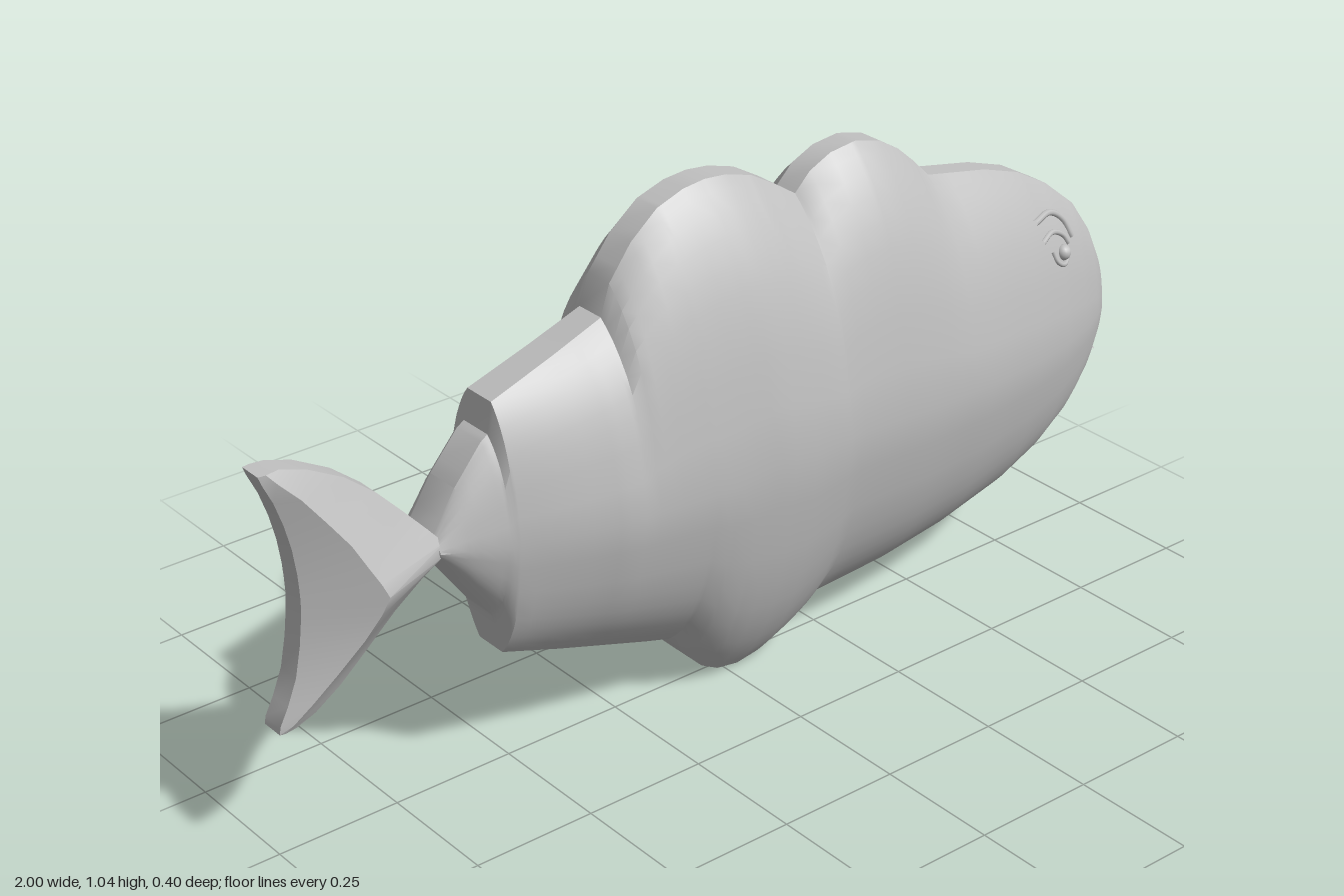
import * as THREE from 'three';
import { toCreasedNormals } from 'three/addons/utils/BufferGeometryUtils.js';

// Piecewise linear lookup in a list of [position, value] pairs
function lookup(table, x) {
  if (x <= table[0][0]) return table[0][1];
  for (let i = 1; i < table.length; i++) {
    const [x0, v0] = table[i - 1], [x1, v1] = table[i];
    if (x <= x1) return v0 + (v1 - v0) * (x - x0) / (x1 - x0);
  }
  return table[table.length - 1][1];
}

// Skin closed rings of equal length and cap both ends
function loft(rings, crease) {
  const n = rings[0].length, index = [];
  for (let i = 0; i < rings.length - 1; i++) {
    for (let j = 0; j < n; j++) {
      const k = (j + 1) % n;
      const a = i * n + j, b = i * n + k, c = b + n, d = a + n;
      index.push(a, b, c, a, c, d);
    }
  }
  const last = (rings.length - 1) * n;
  for (let j = 1; j < n - 1; j++) {
    index.push(0, j + 1, j, last, last + j, last + j + 1);
  }
  const geo = new THREE.BufferGeometry();
  geo.setAttribute('position', new THREE.Float32BufferAttribute(rings.flat(2), 3));
  geo.setIndex(index);
  return toCreasedNormals(geo, crease);
}

// Body outline along x: back with two humps, belly with one fin
const back = [[-0.67, 0.54], [-0.62, 0.62], [-0.56, 0.69], [-0.545, 0.7], [-0.535, 0.76], [-0.4, 0.805],
  [-0.29, 0.845], [-0.27, 0.905], [-0.22, 0.97], [-0.16, 1.018], [-0.1, 1.038], [-0.05, 1.043],
  [0, 1.038], [0.06, 1.02], [0.12, 0.985], [0.165, 0.955], [0.2, 0.99], [0.25, 1.013], [0.31, 1.02],
  [0.37, 1.005], [0.42, 0.975], [0.46, 0.94], [0.5, 0.9], [0.65, 0.87], [0.74, 0.84], [0.82, 0.795],
  [0.9, 0.73], [0.95, 0.66], [0.98, 0.595], [0.995, 0.54], [1, 0.5]];
const belly = [[-0.67, 0.5], [-0.6, 0.405], [-0.55, 0.335], [-0.53, 0.25], [-0.4, 0.205], [-0.2, 0.14],
  [-0.14, 0.122], [-0.11, 0.08], [-0.06, 0.03], [-0.02, 0.008], [0.03, 0], [0.08, 0.008], [0.13, 0.03],
  [0.17, 0.055], [0.2, 0.085], [0.4, 0.097], [0.55, 0.12], [0.7, 0.158], [0.8, 0.2], [0.88, 0.252],
  [0.94, 0.32], [0.98, 0.395], [0.995, 0.44], [1, 0.47]];
const ridge = [[-0.67, 0.515], [-0.55, 0.502], [-0.1, 0.505], [0, 0.528], [0.08, 0.515], [0.2, 0.52],
  [0.4, 0.505], [0.9, 0.487], [1, 0.485]];
const halfWidth = [[-0.67, 0.06], [-0.55, 0.1], [-0.45, 0.135], [-0.33, 0.168], [-0.15, 0.186], [0, 0.198],
  [0.15, 0.198], [0.35, 0.192], [0.55, 0.18], [0.7, 0.157], [0.8, 0.132], [0.9, 0.093], [0.95, 0.067],
  [0.98, 0.047], [1, 0.024]];
// Fall of the flank from the ridge (0) to the rim (1)
const flank = [[0, 1], [0.2, 0.92], [0.4, 0.83], [0.55, 0.72], [0.65, 0.625], [0.74, 0.52], [0.83, 0.38],
  [0.9, 0.25], [0.96, 0.11], [1, 0]];

function rimWidth(x) {
  return Math.min(lookup([[-0.6, 0.036], [0, 0.026], [1, 0.022]], x), lookup(halfWidth, x));
}

function flankZ(x, y) {
  const mid = lookup(ridge, x), edge = lookup(y > mid ? back : belly, x);
  const t = Math.min(1, Math.abs((y - mid) / (edge - mid)));
  const rim = rimWidth(x);
  return rim + (lookup(halfWidth, x) - rim) * lookup(flank, t);
}

function bodyRing(x) {
  const mid = lookup(ridge, x), top = lookup(back, x), low = lookup(belly, x);
  const ts = flank.map(p => p[0]);
  const ys = [...ts.slice(1).reverse().map(t => mid + (top - mid) * t), ...ts.map(t => mid + (low - mid) * t)];
  const front = ys.map(y => [x, y, flankZ(x, y)]);
  return [...front, ...front.map(([px, py, pz]) => [px, py, -pz]).reverse()];
}

function bodyGeometry() {
  const xs = [...back, ...belly, ...halfWidth].map(p => p[0]);
  for (let x = -0.65; x < 1; x += 0.05) xs.push(x);
  xs.sort((a, b) => a - b);
  const stations = xs.filter((x, i) => i === 0 || x - xs[i - 1] > 0.003);
  return loft(stations.map(bodyRing), 0.5);
}

// Tail fin: [y, rear edge x, crest x, front edge x, crest half width, front half width]
function tailGeometry() {
  const rows = [
    [0.26, -0.995, -0.985, -0.96, 0.026, 0.022], [0.275, -0.993, -0.972, -0.92, 0.034, 0.022],
    [0.31, -0.975, -0.937, -0.866, 0.045, 0.022], [0.36, -0.955, -0.895, -0.81, 0.062, 0.024],
    [0.42, -0.943, -0.85, -0.75, 0.083, 0.03], [0.47, -0.937, -0.822, -0.7, 0.1, 0.042],
    [0.505, -0.935, -0.81, -0.665, 0.11, 0.055], [0.53, -0.936, -0.82, -0.655, 0.103, 0.05],
    [0.56, -0.938, -0.835, -0.68, 0.092, 0.04], [0.61, -0.945, -0.86, -0.725, 0.077, 0.03],
    [0.66, -0.957, -0.895, -0.772, 0.06, 0.024], [0.71, -0.974, -0.932, -0.833, 0.046, 0.022],
    [0.75, -0.993, -0.97, -0.905, 0.034, 0.022], [0.768, -1, -0.985, -0.958, 0.026, 0.022],
  ];
  return loft(rows.map(([y, rear, crest, front, wide, nose]) => [
    [rear, y, 0.024], [crest, y, wide], [front, y, nose],
    [front, y, -nose], [crest, y, -wide], [rear, y, -0.024],
  ]), 0.45);
}

// Thin raised line that follows the flank
function flankLine(points, radius, side) {
  const curve = new THREE.CatmullRomCurve3(
    points.map(([x, y]) => new THREE.Vector3(x, y, side * flankZ(x, y))));
  return new THREE.TubeGeometry(curve, 16, radius, 8);
}

export function createModel() {
  const grey = new THREE.MeshStandardMaterial({ color: 0xc0c0c0 });
  grey.name = 'grey';
  const model = new THREE.Group();
  model.name = 'fish';
  const add = (name, geometry, parent = model) => {
    const mesh = new THREE.Mesh(geometry, grey);
    mesh.name = name;
    parent.add(mesh);
    return mesh;
  };

  add('body', bodyGeometry());
  add('tailFin', tailGeometry());

  // Eyes with brow and lids on both flanks
  for (const side of [1, -1]) {
    const eye = new THREE.Group();
    eye.name = side > 0 ? 'frontEye' : 'backEye';
    model.add(eye);
    add('brow', flankLine([[0.73, 0.755], [0.79, 0.755], [0.83, 0.728], [0.85, 0.69]], 0.007, side), eye);
    add('upperLid', flankLine([[0.74, 0.715], [0.78, 0.722], [0.815, 0.705], [0.83, 0.685]], 0.006, side), eye);
    add('lowerLid', flankLine([[0.768, 0.69], [0.78, 0.665], [0.805, 0.652], [0.828, 0.668]], 0.005, side), eye);
    const pupil = add('pupil', new THREE.SphereGeometry(0.016, 16, 12), eye);
    pupil.position.set(0.805, 0.675, side * flankZ(0.805, 0.675));
  }

  // Small curved lip at the nose
  const lip = new THREE.CatmullRomCurve3([
    new THREE.Vector3(0.968, 0.385, -0.036), new THREE.Vector3(0.98, 0.4, 0), new THREE.Vector3(0.968, 0.385, 0.036)]);
  add('lip', new THREE.TubeGeometry(lip, 12, 0.007, 8));

  return model;
}
